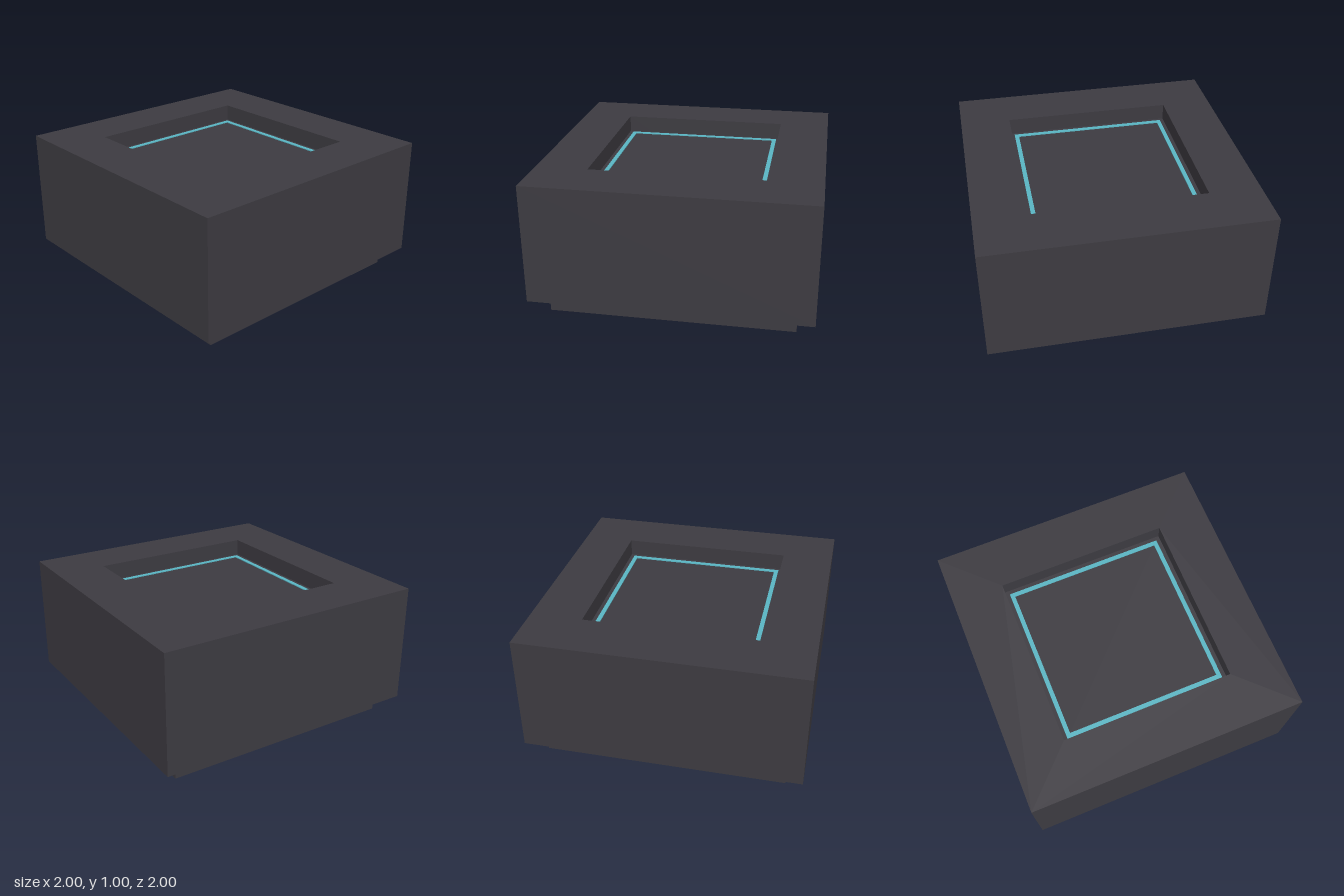
import * as THREE from 'three';

// Square outline with an optional square hole
function square(half, hole) {
  const ring = (h, Kind) => new Kind([[-h, -h], [h, -h], [h, h], [-h, h]].map(([x, y]) => new THREE.Vector2(x, y)));
  const shape = ring(half, THREE.Shape);
  if (hole) shape.holes.push(ring(hole, THREE.Path));
  return shape;
}

export function createModel() {
  const group = new THREE.Group();
  const casing = new THREE.MeshStandardMaterial({ color: 0x3d3b41 });
  casing.name = 'charcoal';
  const glow = new THREE.MeshStandardMaterial({ color: 0x5ab6c4 });
  glow.name = 'teal';

  // Upright square slab from y0 to y1
  function slab(name, half, hole, y0, y1, material) {
    const geometry = new THREE.ExtrudeGeometry(square(half, hole), { depth: y1 - y0, bevelEnabled: false });
    geometry.rotateX(-Math.PI / 2).translate(0, y0, 0);
    const mesh = new THREE.Mesh(geometry, material);
    mesh.name = name;
    group.add(mesh);
  }

  const floorY = 0.875;
  slab('base', 0.875, 0, 0, 0.13, casing);

  // Body: underside block with open-topped walls around the recess
  const bodyShape = square(1, 0.625);
  const walls = new THREE.ExtrudeGeometry(bodyShape, { depth: 0.87, bevelEnabled: false });
  walls.rotateX(-Math.PI / 2).translate(0, 0.13, 0);
  const body = new THREE.Mesh(walls, casing);
  body.name = 'body';
  group.add(body);

  // Recess floor and the thin lit frame on it
  slab('recessFloor', 0.625, 0, 0.13, floorY, casing);
  slab('lightFrame', 0.594, 0.5625, floorY, floorY + 0.006, glow);

  return group;
}
